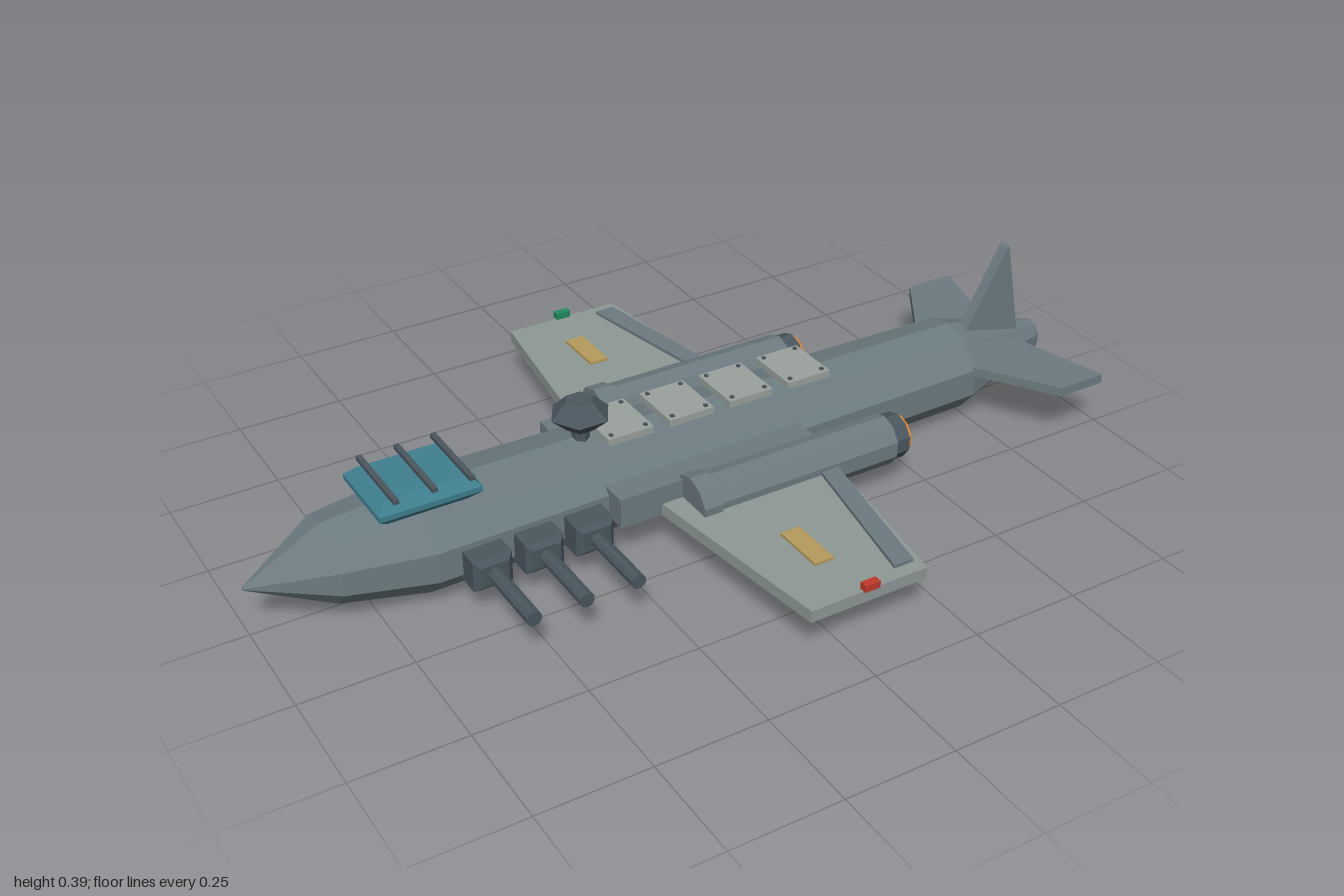
import * as THREE from 'three';

const mat = (name, color) => {
  const m = new THREE.MeshStandardMaterial({ color });
  m.name = name;
  return m;
};

export function createModel() {
  const hull = mat('hull grey', 0x6c7b80);
  const wingGrey = mat('wing grey', 0x8e9996);
  const dark = mat('dark steel', 0x4a565e);
  const teal = mat('canopy teal', 0x3f7f8f);
  const orange = mat('exhaust orange', 0xd9822b);
  const ochre = mat('ochre panel', 0xb49a5c);
  const red = mat('red light', 0xc0392b);
  const green = mat('green light', 0x1f8a5f);
  const panel = mat('hatch grey', 0x9aa29e);

  const model = new THREE.Group();
  model.name = 'aircraft';

  // faceted mesh
  const add = (name, geo, material, x = 0, y = 0, z = 0) => {
    const g = geo.index ? geo.toNonIndexed() : geo;
    g.computeVertexNormals();
    const m = new THREE.Mesh(g, material);
    m.name = name;
    m.position.set(x, y, z);
    model.add(m);
    return m;
  };
  const box = (name, material, w, h, d, x, y, z) =>
    add(name, new THREE.BoxGeometry(w, h, d), material, x, y, z);
  // cylinder lying along x between x0 and x1
  const tubeX = (name, material, r, x0, x1, y, z) =>
    add(name, new THREE.CylinderGeometry(r, r, x1 - x0, 10, 1, false, Math.PI / 2).rotateZ(Math.PI / 2),
      material, (x0 + x1) / 2, y, z);
  const outline = (pts) => new THREE.Shape(pts.map(([a, b]) => new THREE.Vector2(a, b)));
  // horizontal plate from [x, z] corners, mirrored by side
  const plate = (name, material, pts, side, bottom, top) =>
    add(name, new THREE.ExtrudeGeometry(outline(pts.map(([x, z]) => [x, z * side])),
      { depth: top - bottom, bevelEnabled: false }).rotateX(Math.PI / 2), material, 0, top, 0);
  // chamfered block, w x h face, total depth d along local z
  const chamferBlock = (w, h, d, b) => {
    const a = w / 2 - b, c = h / 2 - b;
    return new THREE.ExtrudeGeometry(outline([[-a, -c], [a, -c], [a, c], [-a, c]]),
      { depth: d - 2 * b, bevelSize: b, bevelThickness: b, bevelSegments: 1 }).translate(0, 0, b - d / 2);
  };

  // fuselage: ten-sided rings as [x, centre y, half height, half width]
  const rings = [
    [-1, 0.115, 0.004, 0.004], [-0.83, 0.124, 0.088, 0.108], [-0.64, 0.114, 0.114, 0.145],
    [0.74, 0.111, 0.106, 0.118], [1, 0.115, 0.038, 0.031],
  ];
  const body = new THREE.CylinderGeometry(1, 1, 1, 10, rings.length - 1, false, Math.PI / 2);
  const p = body.attributes.position;
  for (let i = 0; i < p.count; i++) {
    const [x, cy, ry, rz] = rings[Math.round((0.5 - p.getY(i)) * (rings.length - 1))];
    p.setXYZ(i, x, cy + ry * p.getX(i), rz * p.getZ(i));
  }
  add('fuselage', body, hull);

  // canopy with cross bars
  add('canopy', chamferBlock(0.225, 0.185, 0.056, 0.022).rotateX(-Math.PI / 2), teal, -0.625, 0.238, 0);
  for (const x of [-0.7, -0.617, -0.535]) box('canopyBar', dark, 0.012, 0.01, 0.19, x, 0.271, 0);

  // six-sided turret
  const profile = [[0, 0.247], [0.032, 0.247], [0.068, 0.28], [0.032, 0.314], [0, 0.314]];
  add('turret', new THREE.LatheGeometry(profile.map(([r, y]) => new THREE.Vector2(r, y)), 6, Math.PI / 2),
    dark, -0.239, 0, 0);
  add('turretNeck', new THREE.CylinderGeometry(0.02, 0.02, 0.05, 6), dark, -0.239, 0.23, 0);

  // dorsal hatches with bolts
  for (const x of [-0.153, -0.003, 0.148, 0.3]) {
    box('hatch', panel, 0.11, 0.016, 0.132, x, 0.23, 0);
    for (const sx of [-1, 1]) for (const sz of [-1, 1])
      box('hatchBolt', dark, 0.008, 0.006, 0.008, x + sx * 0.042, 0.239, sz * 0.053);
  }

  // side guns on the +z flank
  for (const x of [-0.543, -0.426, -0.309]) {
    add('gunMount', chamferBlock(0.088, 0.072, 0.08, 0.012), dark, x, 0.1, 0.155);
    add('gunBarrel', new THREE.CylinderGeometry(0.017, 0.017, 0.18, 10).rotateX(Math.PI / 2), dark, x, 0.1, 0.275);
  }

  for (const s of [1, -1]) {
    // wing, flap, painted panel and tip light
    plate('wing', wingGrey, [[-0.157, 0.1], [0.272, 0.1], [0.195, 0.645], [-0.085, 0.645]], s, 0.094, 0.122);
    plate('flap', hull, [[0.205, 0.25], [0.248, 0.25], [0.182, 0.615], [0.135, 0.615]], s, 0.115, 0.13);
    box('wingPanel', ochre, 0.046, 0.008, 0.124, 0.027, 0.124, s * 0.465);
    box('tipLight', s > 0 ? red : green, 0.036, 0.016, 0.018, 0.055, 0.132, s * 0.644);

    // engine, intake lip, nozzle and glow
    const z = s * 0.208;
    box('enginePylon', hull, 0.485, 0.07, 0.065, -0.003, 0.13, s * 0.148);
    tubeX('engine', hull, 0.058, -0.07, 0.405, 0.12, z);
    tubeX('intakeLip', hull, 0.065, -0.095, -0.05, 0.12, z);
    tubeX('nozzle', dark, 0.052, 0.4, 0.442, 0.12, z);
    tubeX('exhaust', orange, 0.044, 0.43, 0.452, 0.12, z);

    // tailplane
    plate('tailplane', hull, [[0.69, 0.04], [0.905, 0.04], [0.97, 0.287], [0.85, 0.287]], s, 0.13, 0.152);
  }

  // tail fin
  add('tailFin', new THREE.ExtrudeGeometry(outline([[0.755, 0.165], [0.93, 0.155], [0.882, 0.393], [0.876, 0.388]]),
    { depth: 0.028, bevelEnabled: false }), hull);

  return model;
}
